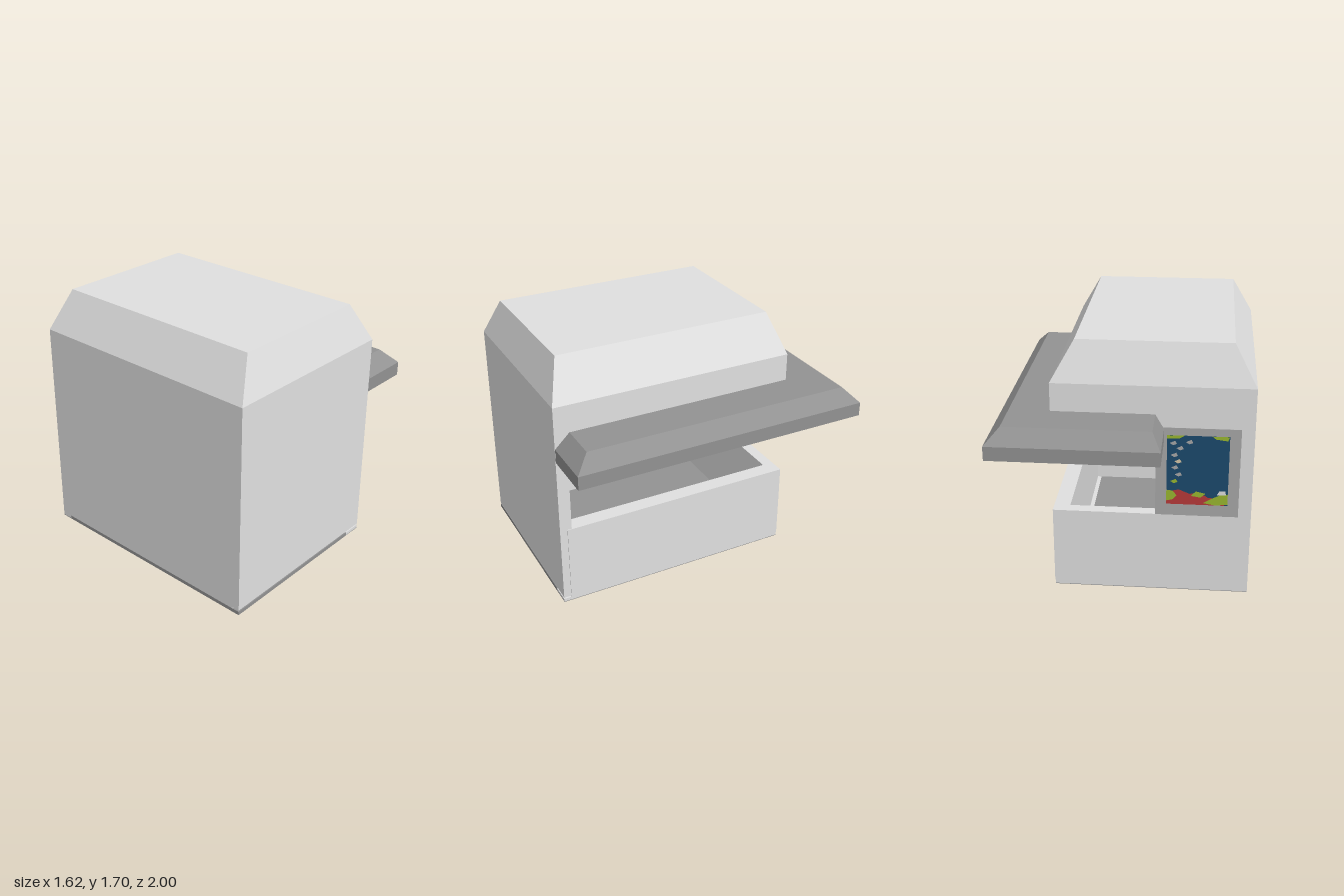
import * as THREE from 'three';

const mat = (name, color) => {
  const m = new THREE.MeshStandardMaterial({ color });
  m.name = name;
  return m;
};

export function createModel() {
  const model = new THREE.Group();
  model.name = 'kiosk';
  const wall = mat('light grey', 0xe0e0e0);
  const dark = mat('dark grey', 0x929292);
  const frame = mat('mid grey', 0xa8a8a8);
  const red = mat('red', 0xb83a3a);
  const navy = mat('navy', 0x1c4a6d);
  const green = mat('green', 0x9ab82f);
  const cream = mat('cream', 0xd8c8a8);

  const add = (name, geo, material, parent = model) => {
    const mesh = new THREE.Mesh(geo, material);
    mesh.name = name;
    parent.add(mesh);
    return mesh;
  };

  // Box given by its limits on each axis
  const box = (name, [x0, x1], [y0, y1], [z0, z1], material, parent) => {
    const geo = new THREE.BoxGeometry(x1 - x0, y1 - y0, z1 - z0);
    geo.translate((x0 + x1) / 2, (y0 + y1) / 2, (z0 + z1) / 2);
    return add(name, geo, material, parent);
  };

  // Box whose top face is pulled in to its own limits
  const hip = (name, [x0, x1], [z0, z1], [y0, y1], [tx0, tx1], [tz0, tz1], material) => {
    const geo = new THREE.BoxGeometry(1, 1, 1).toNonIndexed();
    const p = geo.attributes.position;
    for (let i = 0; i < p.count; i++) {
      const top = p.getY(i) > 0, right = p.getX(i) > 0, front = p.getZ(i) > 0;
      p.setXYZ(i,
        top ? (right ? tx1 : tx0) : (right ? x1 : x0),
        top ? y1 : y0,
        top ? (front ? tz1 : tz0) : (front ? z1 : z0));
    }
    geo.computeVertexNormals();
    return add(name, geo, material);
  };

  // Dark floor slab, showing as a thin band at the front and left
  box('floorBase', [-0.813, 0.46], [0, 0.004], [-0.645, 1], dark);
  box('floor', [-0.813, 0.33], [0.004, 0.025], [-0.57, 1], dark);
  box('sill', [0.33, 0.46], [0.004, 0.025], [-0.57, 1], wall);
  box('rearSill', [-0.813, 0.46], [0.004, 0.025], [-0.645, -0.57], wall);

  // Walls, open at the right rear corner above the counter
  box('frontWall', [-0.813, 0.46], [0.035, 1.07], [0.95, 1], wall);
  box('frontWallLining', [-0.813, 0.46], [0.025, 1.07], [0.92, 0.95], wall);
  box('sideWall', [-0.813, -0.74], [0.025, 1.07], [-0.645, 0.92], wall);
  box('rearWall', [-0.74, -0.2], [0.025, 1.07], [-0.645, -0.57], wall);
  box('rearCounter', [-0.2, 0.46], [0.025, 0.56], [-0.645, -0.57], wall);
  box('sideCounter', [0.36, 0.46], [0.025, 0.56], [-0.57, 0.92], wall);
  box('counterPanel', [0.46, 0.465], [0.03, 0.56], [-0.645, 0.95], wall);

  // Upper block, ceiling and hipped roof
  box('upperBlock', [-0.813, 0.46], [1.07, 1.44], [-0.645, 1], wall);
  box('ceiling', [-0.74, -0.25], [1.066, 1.07], [-0.57, 0.92], dark);
  hip('roof', [-0.813, 0.46], [-0.645, 1], [1.44, 1.7], [-0.67, 0.31], [-0.56, 0.91], wall);

  // Canopy around the open corner
  box('canopyEdge', [-0.25, 0.812], [1.068, 1.16], [-1, 0.998], dark);
  hip('canopyTop', [-0.25, 0.812], [-1, 0.998], [1.16, 1.255], [-0.195, 0.72], [-0.91, 0.9], dark);

  // Dispensers on brackets along the inner left wall
  for (const z of [0.747, 0.565, 0.378]) {
    const d = new THREE.Group();
    d.name = 'dispenser';
    d.position.set(-0.66, 0.555, z);
    model.add(d);
    box('dispenserBase', [-0.08, 0.057], [0, 0.085], [-0.057, 0.057], red, d);
    for (const x of [-1, 1]) for (const s of [-1, 1]) {
      const post = add('dispenserPost', new THREE.CylinderGeometry(0.004, 0.004, 0.17, 6), dark, d);
      post.position.set(x * 0.033, 0.17, s * 0.033);
    }
    const cap = new THREE.LatheGeometry(
      [[0, 0.25], [0.042, 0.25], [0.05, 0.26], [0.05, 0.27], [0.03, 0.286], [0.03, 0.294], [0, 0.294]]
        .map(([r, y]) => new THREE.Vector2(r, y)), 8, Math.PI / 8).toNonIndexed();
    cap.computeVertexNormals();
    add('dispenserCap', cap, navy, d);
  }

  // Framed poster on the rear wall
  const poster = new THREE.Group();
  poster.name = 'poster';
  poster.position.set(-0.27, 0.64, -0.6478);
  poster.rotation.y = Math.PI;
  model.add(poster);
  box('posterFrame', [-0.73, -0.2], [0.56, 1.17], [-0.647, -0.64], frame);
  const W = 0.39, H = 0.48;
  const patch = (name, points, material, layer) => {
    const shape = new THREE.Shape(points.map(([u, v]) => new THREE.Vector2(u * W, v * H)));
    add(name, new THREE.ShapeGeometry(shape), material, poster).position.z = layer * 0.0008;
  };
  patch('posterField', [[0, 0], [1, 0], [1, 1], [0, 1]], navy, 0);
  patch('redBank', [[0, 0], [0.95, 0], [0.88, 0.1], [0.68, 0.11], [0.55, 0.18], [0.38, 0.16], [0.2, 0.22], [0, 0.18]], red, 1);
  patch('greenBankLeft', [[0, 0.05], [0.1, 0.07], [0.17, 0.13], [0.1, 0.2], [0, 0.21]], green, 2);
  patch('greenBankRight', [[0.6, 0.03], [0.8, 0], [1, 0.02], [1, 0.17], [0.86, 0.15], [0.74, 0.1]], green, 2);
  patch('greenBankMiddle', [[0.4, 0.13], [0.56, 0.11], [0.64, 0.17], [0.48, 0.2]], green, 2);
  patch('paleStone', [[0.82, 0.15], [0.97, 0.16], [0.96, 0.22], [0.86, 0.21]], wall, 3);
  patch('topLeaf', [[0, 0.95], [0.2, 0.96], [0.28, 1], [0, 1]], green, 2);
  patch('topLeafRight', [[0.72, 1], [0.78, 0.96], [0.97, 0.94], [1, 1]], green, 2);

  // Small flecks up one side of the poster
  const flecks = [[0.1, 0.89, frame], [0.21, 0.82, frame], [0.12, 0.72, frame], [0.18, 0.63, cream],
    [0.13, 0.54, frame], [0.19, 0.44, frame], [0.12, 0.34, green], [0.36, 0.91, frame]];
  for (const [u, v, m] of flecks) {
    patch('fleck', [[u - 0.06, v], [u, v - 0.03], [u + 0.06, v - 0.01], [u + 0.03, v + 0.035]], m, 2);
  }
  return model;
}
